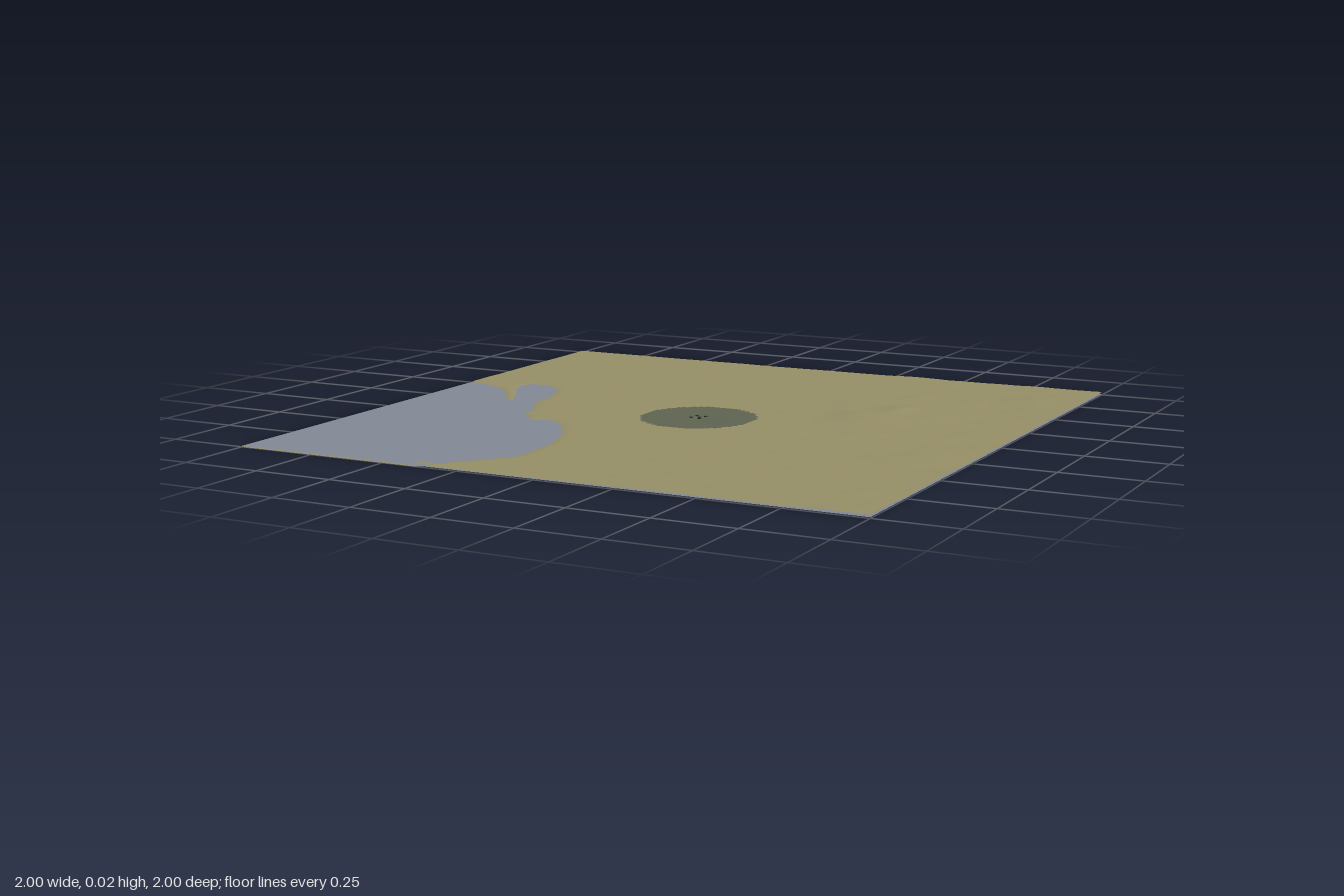
import * as THREE from 'three';

const WATER_LEVEL = 0.003;
const CELLS = 200;
const DISC_RADIUS = 0.185;

// Shoreline of the bay as x, z corners, closed beyond the tile's edge
const SHORE = [
  [-1.1, -0.25], [-1, -0.24], [-0.93, -0.225], [-0.84, -0.18], [-0.80, -0.13], [-0.75, -0.06],
  [-0.70, 0.0], [-0.685, 0.0], [-0.74, -0.11], [-0.79, -0.19], [-0.81, -0.26], [-0.79, -0.30],
  [-0.73, -0.30], [-0.66, -0.25], [-0.635, -0.18], [-0.61, -0.12], [-0.60, 0], [-0.575, 0.05],
  [-0.55, 0.10], [-0.53, 0.13], [-0.545, 0.17], [-0.50, 0.19], [-0.48, 0.24], [-0.45, 0.265],
  [-0.42, 0.24], [-0.39, 0.24], [-0.33, 0.29], [-0.26, 0.40], [-0.21, 0.53], [-0.20, 0.62],
  [-0.20, 0.77], [-0.25, 0.83], [-0.345, 0.945], [-0.45, 0.955], [-0.365, 0.97], [-0.36, 1.1], [-1.1, 1.1],
];

// Hills: x, z, radius in x, radius in z, height
const HILLS = [
  [0.43, -0.25, 0.07, 0.06, 0.006], [0.52, -0.38, 0.05, 0.07, 0.006], [0.50, -0.18, 0.07, 0.05, 0.004],
  [0.55, -0.28, 0.18, 0.2, 0.004], [0.84, -0.72, 0.08, 0.06, 0.004], [0.49, -0.62, 0.04, 0.04, 0.003],
  [0.85, 0.28, 0.1, 0.12, 0.003], [0.35, -0.93, 0.1, 0.08, 0.002],
];

// Distance to the shore, positive on land
function shoreDistance(x, z) {
  let best = Infinity, inside = false;
  for (let i = 0, j = SHORE.length - 1; i < SHORE.length; j = i++) {
    const [ax, az] = SHORE[j], [bx, bz] = SHORE[i];
    const dx = bx - ax, dz = bz - az;
    const t = THREE.MathUtils.clamp(((x - ax) * dx + (z - az) * dz) / (dx * dx + dz * dz), 0, 1);
    best = Math.min(best, Math.hypot(x - ax - t * dx, z - az - t * dz));
    if ((az > z) !== (bz > z) && x < ax + (z - az) / dz * dx) inside = !inside;
  }
  return inside ? -best : best;
}

// Smooth value noise from a hashed lattice
function hash(i, j) {
  const s = Math.sin(i * 127.1 + j * 311.7) * 43758.5453;
  return s - Math.floor(s);
}
function noise(x, z) {
  const i = Math.floor(x), j = Math.floor(z);
  const u = THREE.MathUtils.smoothstep(x - i, 0, 1), v = THREE.MathUtils.smoothstep(z - j, 0, 1);
  return THREE.MathUtils.lerp(
    THREE.MathUtils.lerp(hash(i, j), hash(i + 1, j), u),
    THREE.MathUtils.lerp(hash(i, j + 1), hash(i + 1, j + 1), u), v);
}

function groundHeight(x, z) {
  const d = shoreDistance(x, z);
  if (d < 0) return WATER_LEVEL + Math.max(d * 0.12, -WATER_LEVEL);
  const east = THREE.MathUtils.smoothstep(x, -0.4, 1);
  let relief = 0.0015 + 0.002 * east;
  relief += (0.0008 + 0.0022 * east) * noise(x * 9 + 3, z * 9 + 7);
  relief += (0.0003 + 0.0009 * east) * noise(x * 24, z * 24);
  for (const [hx, hz, rx, rz, h] of HILLS) {
    relief += h * Math.exp(-(((x - hx) / rx) ** 2) - ((z - hz) / rz) ** 2);
  }
  return WATER_LEVEL + Math.min(d * 0.12, relief);
}

// Height field whose cells inside the central circle use the second material
function terrainGeometry() {
  const g = new THREE.PlaneGeometry(2, 2, CELLS, CELLS).rotateX(-Math.PI / 2);
  const p = g.attributes.position;
  for (let i = 0; i < p.count; i++) p.setY(i, groundHeight(p.getX(i), p.getZ(i)));
  const land = [], disc = [];
  for (let c = 0; c < CELLS * CELLS; c++) {
    const x = ((c % CELLS) + 0.5) * 2 / CELLS - 1;
    const z = (Math.floor(c / CELLS) + 0.5) * 2 / CELLS - 1;
    const target = Math.hypot(x, z) < DISC_RADIUS ? disc : land;
    for (let k = 0; k < 6; k++) target.push(g.index.getX(c * 6 + k));
  }
  g.setIndex(land.concat(disc));
  g.addGroup(0, land.length, 0);
  g.addGroup(land.length, disc.length, 1);
  g.computeVertexNormals();
  return g;
}

export function createModel() {
  const material = (name, color) => {
    const m = new THREE.MeshStandardMaterial({ color, side: THREE.DoubleSide });
    m.name = name;
    return m;
  };
  const olive = material('olive land', 0x979068);
  const darkGreen = material('dark green disc', 0x5f6552);
  const blueGrey = material('blue grey water', 0x838b96);
  const charcoal = material('charcoal', 0x34362f);

  const model = new THREE.Group();
  model.name = 'terrainTile';

  const terrain = new THREE.Mesh(terrainGeometry(), [olive, darkGreen]);
  terrain.name = 'terrain';
  model.add(terrain);

  // Water sheet runs under the whole tile and shows where the ground dips
  const water = new THREE.Mesh(new THREE.PlaneGeometry(2, 2).rotateX(-Math.PI / 2), blueGrey);
  water.name = 'water';
  water.position.y = WATER_LEVEL;
  model.add(water);

  // Tiny blocks clustered in the middle of the disc
  const blocks = new THREE.Group();
  blocks.name = 'centreBlocks';
  for (const [x, z] of [[-0.015, -0.02], [0.015, -0.018], [-0.02, 0.012], [0.004, 0.002], [0.012, 0.02]]) {
    const block = new THREE.Mesh(new THREE.BoxGeometry(0.008, 0.004, 0.008), charcoal);
    block.name = 'block';
    block.position.set(x, groundHeight(x, z) + 0.001, z);
    blocks.add(block);
  }
  model.add(blocks);
  return model;
}
